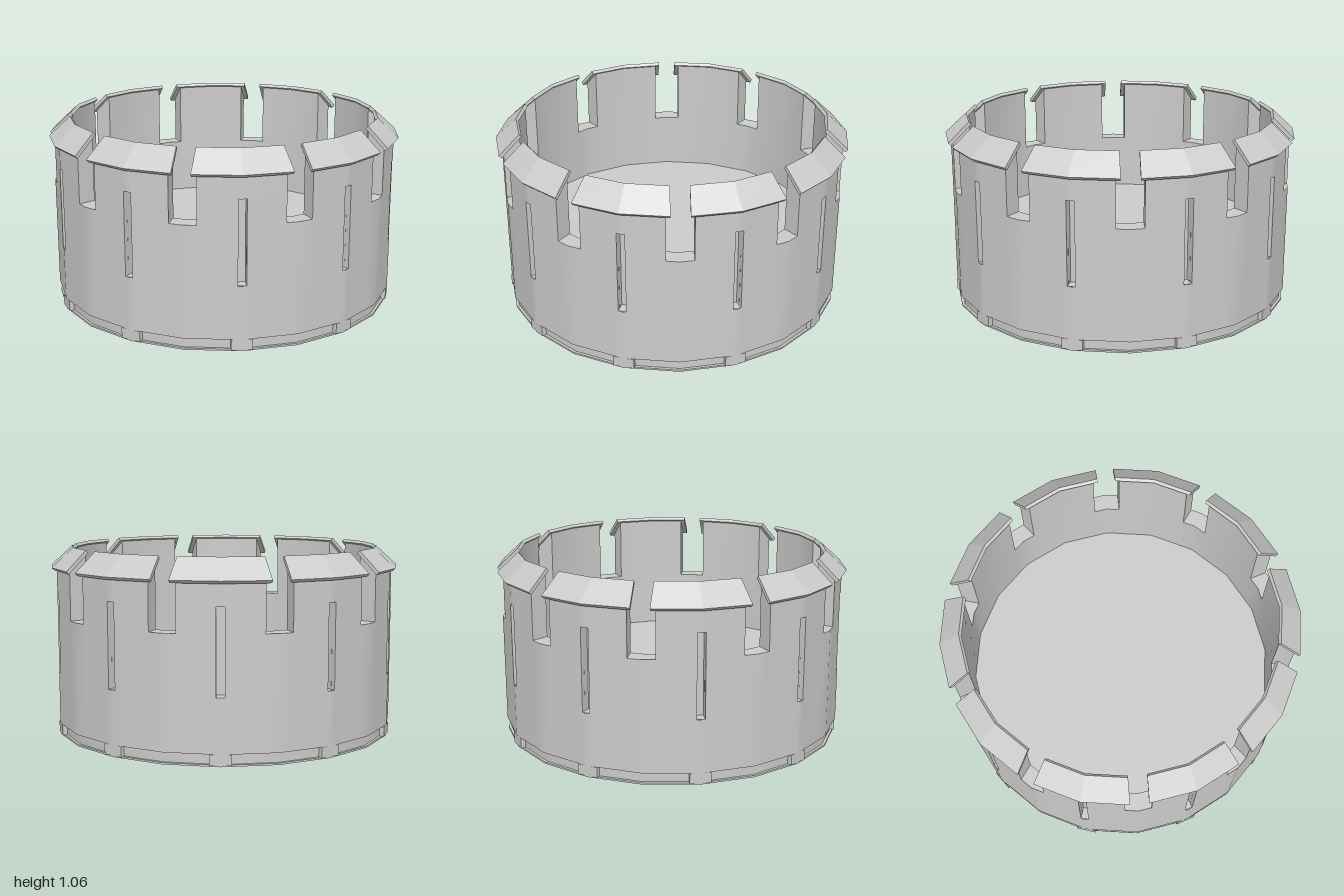
import * as THREE from 'three';
import { mergeGeometries, toCreasedNormals } from 'three/addons/utils/BufferGeometryUtils.js';

const BAYS = 10, STEP = Math.PI * 2 / BAYS, HALF = STEP / 2;
const R_OUT = 0.972, R_IN = 0.875, R_SHELL = 0.945;
const Y_BASE = 0.065, Y_FLOOR = 0.36, Y_SILL = 0.68, Y_SLIT = 0.82, Y_EAVE = 0.95, Y_TOP = 1.04;

const material = new THREE.MeshStandardMaterial({ color: 0xcccccc, side: THREE.DoubleSide });

// Point in a bay facing +z: u runs from -1 to 1 along the two flat facets of radius r
function P(u, r, y) {
  const t = Math.abs(u);
  return [u * Math.sin(HALF) * r, y, r * (1 - t + t * Math.cos(HALF))];
}
// Share of a facet covered by a sideways distance d
const share = (d, r) => d / (r * Math.sin(HALF));

// Geometry from a list of four-cornered faces
function fromQuads(quads) {
  const pos = [];
  for (const [a, b, c, d] of quads) pos.push(...a, ...b, ...c, ...a, ...c, ...d);
  const geo = new THREE.BufferGeometry();
  geo.setAttribute('position', new THREE.Float32BufferAttribute(pos, 3));
  geo.computeVertexNormals();
  return geo;
}

// Upright grid of faces at radius r, with cells left out by a rule
function grid(r, us, ys, inward, skip = () => false) {
  const quads = [];
  for (let i = 0; i < us.length - 1; i++) {
    for (let j = 0; j < ys.length - 1; j++) {
      if (skip((us[i] + us[i + 1]) / 2, ys[j])) continue;
      const q = [P(us[i], r, ys[j]), P(us[i + 1], r, ys[j]), P(us[i + 1], r, ys[j + 1]), P(us[i], r, ys[j + 1])];
      quads.push(inward ? q.reverse() : q);
    }
  }
  return quads;
}

// Repeat a bay's geometry around the tower as one mesh
function around(name, geo, crease) {
  const copies = [];
  for (let k = 0; k < BAYS; k++) copies.push(geo.clone().rotateY(HALF + k * STEP));
  const mesh = new THREE.Mesh(toCreasedNormals(mergeGeometries(copies), crease), material);
  mesh.name = name;
  return mesh;
}

// One bay of wall: merlon, half a gap on each side, and a slit in the middle
function wallBay() {
  const g = 1 - share(0.073, R_OUT), gi = 1 - share(0.073, R_IN), s = share(0.022, R_OUT);
  const quads = [
    ...grid(R_OUT, [-1, -g, -s, 0, s, g, 1], [Y_BASE, Y_FLOOR, Y_SILL, Y_SLIT, Y_EAVE], false,
      (u, y) => (Math.abs(u) < s && y >= Y_FLOOR && y < Y_SLIT) || (Math.abs(u) > g && y >= Y_SILL)),
    ...grid(R_IN, [-1, -gi, 0, gi, 1], [Y_FLOOR, Y_SILL, Y_TOP], true,
      (u, y) => Math.abs(u) > gi && y >= Y_SILL),
    ...grid(R_SHELL, [-1, -s, 0, s, 1], [Y_BASE, Y_FLOOR, Y_SILL - 0.02], true,
      (u, y) => Math.abs(u) < s && y >= Y_FLOOR),
  ];
  // Gap sides, sills and the lower lip of the shell
  for (const m of [-1, 1]) {
    const side = [P(m * g, R_OUT, Y_SILL), P(m * gi, R_IN, Y_SILL), P(m * gi, R_IN, Y_TOP), P(m * g, R_OUT, Y_EAVE)];
    const sill = [P(m * g, R_OUT, Y_SILL), P(m, R_OUT, Y_SILL), P(m, R_IN, Y_SILL), P(m * gi, R_IN, Y_SILL)];
    const lip = [P(0, R_SHELL, Y_BASE), P(m, R_SHELL, Y_BASE), P(m, R_OUT, Y_BASE), P(0, R_OUT, Y_BASE)];
    for (const q of [side, sill, lip]) quads.push(m > 0 ? q : q.reverse());
  }
  // Slit pocket
  const rb = 0.91, sb = share(0.022, rb);
  const front = [P(-s, R_OUT, Y_FLOOR), P(s, R_OUT, Y_FLOOR), P(s, R_OUT, Y_SLIT), P(-s, R_OUT, Y_SLIT)];
  const back = [P(-sb, rb, Y_FLOOR), P(sb, rb, Y_FLOOR), P(sb, rb, Y_SLIT), P(-sb, rb, Y_SLIT)];
  quads.push(back);
  for (let i = 0; i < 4; i++) {
    const n = (i + 1) % 4;
    quads.push([front[i], front[n], back[n], back[i]]);
  }
  return fromQuads(quads);
}

// Sloping roof slab over a merlon, bent at its middle
function capBay() {
  const profile = [[0.985, 0.935], [1.0, 0.95], [0.88, 1.06], [0.866, 1.045]];
  const section = m => profile.map(([r, y]) => P(m * (1 - share(0.05, r)), r, y));
  const left = section(-1), mid = section(0), right = section(1);
  const quads = [[...left].reverse(), right];
  for (const [a, b] of [[left, mid], [mid, right]]) {
    for (let i = 0; i < 4; i++) {
      const n = (i + 1) % 4;
      quads.push([a[i], b[i], b[n], a[n]]);
    }
  }
  // End faces look outward along the slab
  quads[0].reverse();
  quads[0] = [left[0], left[1], left[2], left[3]];
  quads[1] = [right[3], right[2], right[1], right[0]];
  return fromQuads(quads);
}

export function createModel() {
  const model = new THREE.Group();
  model.name = 'towerTop';

  model.add(around('wall', wallBay(), 0.5));
  model.add(around('merlonCaps', capBay(), 0.1));

  // Floor inside the wall
  const floor = new THREE.Mesh(new THREE.CircleGeometry(R_IN, BAYS * 2).rotateX(-Math.PI / 2), material);
  floor.name = 'floor';
  floor.position.y = Y_FLOOR;
  model.add(floor);

  // Recessed base ring with a thin flange
  const ringProfile = [[0.935, 0], [0.967, 0], [0.967, 0.01], [0.952, 0.01], [0.952, Y_BASE], [0.935, Y_BASE], [0.935, 0]]
    .map(([x, y]) => new THREE.Vector2(x, y));
  const ring = new THREE.LatheGeometry(ringProfile, BAYS * 2);
  const base = new THREE.Mesh(toCreasedNormals(ring, 0.5), material);
  base.name = 'baseRing';
  model.add(base);

  // Lugs through the base ring, one below each slit
  const lug = new THREE.BoxGeometry(0.115, 0.058, 0.055).translate(0, 0.036, 0.941);
  model.add(around('baseLugs', lug, 0.5));

  return model;
}
